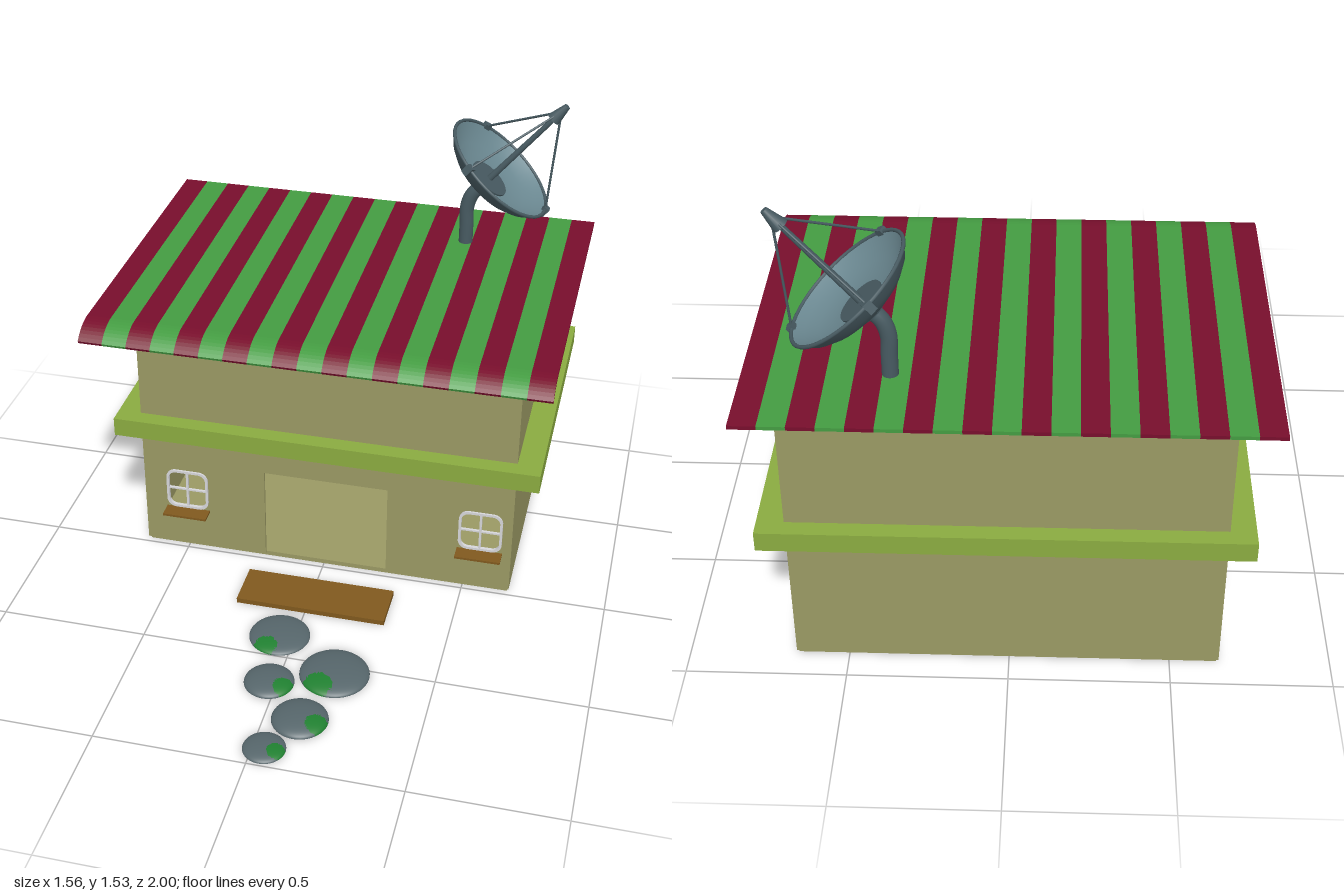
import * as THREE from 'three';

const mat = (name, color, side = THREE.FrontSide) => {
  const m = new THREE.MeshStandardMaterial({ color, side });
  m.name = name;
  return m;
};

export function createModel() {
  const wall = mat('olive wall', 0x9a9964);
  const bandGreen = mat('lime band', 0x8aab40);
  const maroon = mat('maroon stripe', 0x780e2c);
  const green = mat('green stripe', 0x449c42);
  const white = mat('window white', 0xd6d6da);
  const wood = mat('wood brown', 0x80591e);
  const stone = mat('stone grey', 0x56666b, THREE.DoubleSide);
  const moss = mat('moss green', 0x1f8030, THREE.DoubleSide);
  const bowl = mat('dish blue grey', 0x6a8790);
  const metal = mat('dark metal', 0x475a61);

  const model = new THREE.Group();
  const add = (name, geo, material, parent = model) => {
    const m = new THREE.Mesh(geo, material);
    m.name = name;
    parent.add(m);
    return m;
  };
  // Box given by its min and max corners
  const box = (name, a, b, material, parent) => {
    const g = new THREE.BoxGeometry(b[0] - a[0], b[1] - a[1], b[2] - a[2]);
    g.translate((a[0] + b[0]) / 2, (a[1] + b[1]) / 2, (a[2] + b[2]) / 2);
    return add(name, g, material, parent);
  };
  // Rod between two points
  const rod = (name, a, b, r0, r1, material, parent) => {
    const d = b.clone().sub(a);
    const m = add(name, new THREE.CylinderGeometry(r1, r0, d.length(), 12), material, parent);
    m.position.copy(a).addScaledVector(d, 0.5);
    m.quaternion.setFromUnitVectors(new THREE.Vector3(0, 1, 0), d.normalize());
    return m;
  };
  // Rounded rectangle outline centred on cx, cy
  const rounded = (Type, cx, cy, w, h, r) => {
    const s = new Type(), x = w / 2 - r, y = h / 2 - r;
    s.absarc(cx + x, cy + y, r, 0, Math.PI / 2);
    s.absarc(cx - x, cy + y, r, Math.PI / 2, Math.PI);
    s.absarc(cx - x, cy - y, r, Math.PI, Math.PI * 1.5);
    s.absarc(cx + x, cy - y, r, Math.PI * 1.5, Math.PI * 2);
    s.closePath();
    return s;
  };

  // Walls: a hollow room with an open doorway and window holes
  const X0 = -0.653, X1 = 0.665, Y0 = 0.015, Y1 = 0.965, ZF = -0.01, ZB = -0.915, T = 0.01;
  const windowX = [-0.495, 0.555], windowY = 0.25;
  const front = new THREE.Shape([
    [X0, Y0], [-0.212, Y0], [-0.212, 0.366], [0.227, 0.366],
    [0.227, Y0], [X1, Y0], [X1, Y1], [X0, Y1],
  ].map(p => new THREE.Vector2(...p)));
  for (const x of windowX) front.holes.push(rounded(THREE.Path, x, windowY, 0.14, 0.145, 0.03));
  const frontGeo = new THREE.ExtrudeGeometry(front, { depth: T, bevelEnabled: false });
  frontGeo.translate(0, 0, ZF - T);
  add('frontWall', frontGeo, wall);
  box('backWall', [X0, Y0, ZB], [X1, Y1, ZB + T], wall);
  box('rightWall', [X0, Y0, ZB + T], [X0 + T, Y1, ZF - T], wall);
  box('leftWall', [X1 - T, Y0, ZB + T], [X1, Y1, ZF - T], wall);
  box('floor', [X0 + 0.006, 0, ZB + 0.01], [X1 - 0.006, Y0 + 0.002, ZF - 0.012], wall);
  box('storeyBand', [-0.732, 0.482, -0.968], [0.748, 0.549, 0.048], bandGreen);

  // Windows: rounded frame, cross bars and sill
  windowX.forEach((x, i) => {
    const w = new THREE.Group();
    w.name = i ? 'leftWindow' : 'rightWindow';
    model.add(w);
    const outline = rounded(THREE.Shape, x, windowY, 0.152, 0.157, 0.034);
    outline.holes.push(rounded(THREE.Path, x, windowY, 0.134, 0.139, 0.027));
    const g = new THREE.ExtrudeGeometry(outline, { depth: 0.012, bevelEnabled: false, curveSegments: 8 });
    g.translate(0, 0, -0.015);
    add('windowFrame', g, white, w);
    box('uprightBar', [x - 0.004, 0.177, -0.014], [x + 0.004, 0.323, -0.005], white, w);
    box('crossBar', [x - 0.07, 0.247, -0.014], [x + 0.07, 0.253, -0.005], white, w);
    box('windowSill', [x - 0.079, 0.16, -0.01], [x + 0.079, 0.168, 0.045], wood, w);
  });

  // Roof: striped sheet that curls down at the front
  const roof = new THREE.Group();
  roof.name = 'stripedRoof';
  model.add(roof);
  const sheet = new THREE.Shape();
  sheet.moveTo(-1, 0.964);
  sheet.lineTo(0.09, 0.964);
  sheet.quadraticCurveTo(0.145, 0.96, 0.183, 0.923);
  sheet.lineTo(0.187, 0.932);
  sheet.quadraticCurveTo(0.147, 0.974, 0.09, 0.976);
  sheet.lineTo(-1, 0.976);
  const stripes = 19, width = 1.56 / stripes;
  for (let i = 0; i < stripes; i++) {
    const g = new THREE.ExtrudeGeometry(sheet, { depth: width, bevelEnabled: false, curveSegments: 8 });
    g.rotateY(-Math.PI / 2);
    g.translate(-0.78 + (i + 1) * width, 0, 0);
    add('roofStripe', g, i % 2 ? green : maroon, roof);
  }

  // Doorstep plank
  box('doorstep', [-0.242, 0, 0.095], [0.278, 0.018, 0.262], wood);

  // Stepping stones: shallow open domes with a moss patch near one edge
  const steppingStone = (x, z, r, base, h, mx, mz, mr) => {
    const g = new THREE.SphereGeometry(1, 48, 16, 0, Math.PI * 2, 0, Math.PI / 2);
    g.scale(r, h, r);
    g.translate(x, base, z);
    const p = g.attributes.position, idx = g.index.array, parts = [[], []];
    for (let i = 0; i < idx.length; i += 3) {
      const t = [idx[i], idx[i + 1], idx[i + 2]];
      const cx = t.reduce((s, k) => s + p.getX(k), 0) / 3;
      const cz = t.reduce((s, k) => s + p.getZ(k), 0) / 3;
      parts[Math.hypot(cx - mx, cz - mz) < mr ? 1 : 0].push(...t);
    }
    g.setIndex([...parts[0], ...parts[1]]);
    g.addGroup(0, parts[0].length, 0);
    g.addGroup(parts[0].length, parts[1].length, 1);
    add('steppingStone', g, [stone, moss]);
  };
  steppingStone(-0.052, 0.397, 0.103, 0.001, 0.022, -0.082, 0.47, 0.038);
  steppingStone(0.172, 0.54, 0.116, 0.001, 0.027, 0.132, 0.62, 0.048);
  steppingStone(-0.025, 0.632, 0.083, 0.006, 0.024, 0.032, 0.66, 0.036);
  steppingStone(0.116, 0.779, 0.092, 0.007, 0.026, 0.178, 0.805, 0.038);
  steppingStone(0.04, 0.93, 0.069, 0.007, 0.018, 0.082, 0.945, 0.03);

  // Mast with a bent neck
  const V = (x, y, z) => new THREE.Vector3(x, y, z);
  const DZ = -0.741;
  const bend = new THREE.CatmullRomCurve3([
    V(0.347, 0.965, DZ), V(0.347, 1.04, DZ), V(0.347, 1.115, DZ),
    V(0.363, 1.163, DZ), V(0.402, 1.207, DZ),
  ]);
  add('dishMast', new THREE.TubeGeometry(bend, 28, 0.025, 20), metal);

  // Dish: tilted bowl, its local y is the pointing axis
  const dish = new THREE.Group();
  dish.name = 'satelliteDish';
  dish.position.set(0.457, 1.272, DZ);
  dish.rotation.z = -0.705;
  model.add(dish);
  const lathe = pts => new THREE.LatheGeometry(pts.map(p => new THREE.Vector2(...p)), 40);
  add('bowlBack', lathe([[0, -0.088], [0.06, -0.086], [0.11, -0.076], [0.156, -0.057], [0.19, -0.034], [0.216, 0]]), metal, dish);
  add('bowlInside', lathe([[0.214, 0.001], [0.186, -0.023], [0.15, -0.044], [0.11, -0.056], [0.07, -0.062], [0, -0.063]]), bowl, dish);
  const rim = add('bowlRim', new THREE.TorusGeometry(0.215, 0.006, 8, 48), metal, dish);
  rim.rotation.x = Math.PI / 2;
  const plate = add('centrePlate', new THREE.CylinderGeometry(0.076, 0.076, 0.006, 32), metal, dish);
  plate.position.y = -0.058;
  const hub = add('rearHub', new THREE.CylinderGeometry(0.062, 0.045, 0.03, 24), metal, dish);
  hub.position.y = -0.09;

  // Feed boom, horn and three struts with rim clamps
  rod('feedBoom', V(0, -0.06, 0), V(0, 0.27, 0), 0.012, 0.009, metal, dish);
  rod('feedHorn', V(0, 0.262, 0), V(0, 0.328, 0), 0.025, 0.011, metal, dish);
  for (let i = 0; i < 3; i++) {
    const a = i * Math.PI * 2 / 3, c = Math.cos(a), s = Math.sin(a);
    rod('feedStrut', V(c * 0.217, 0, s * 0.217), V(c * 0.018, 0.275, s * 0.018), 0.004, 0.004, metal, dish);
    const clamp = add('rimClamp', new THREE.BoxGeometry(0.022, 0.035, 0.026), metal, dish);
    clamp.position.set(c * 0.216, -0.006, s * 0.216);
    clamp.rotation.y = -a;
  }
  return model;
}
